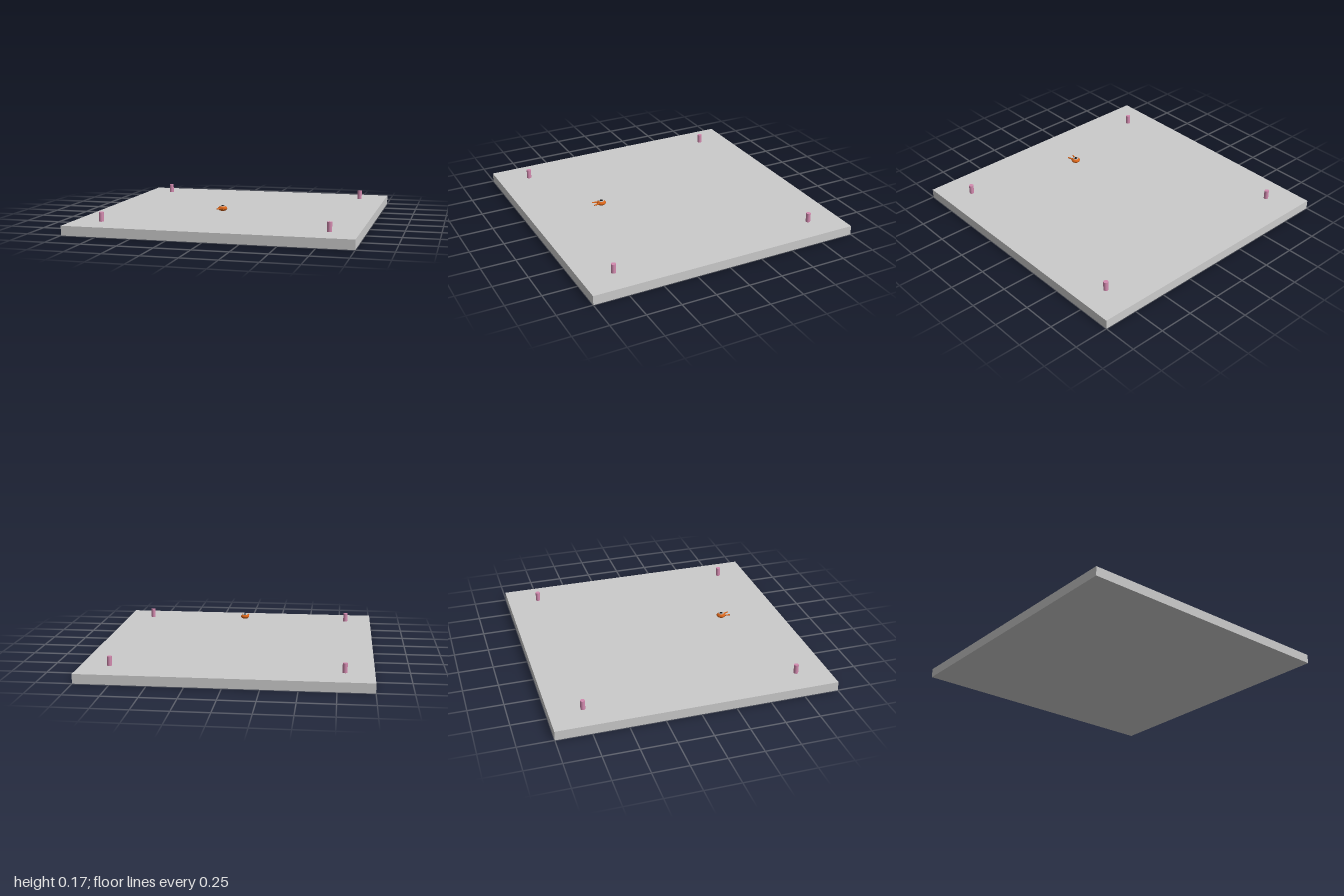
import * as THREE from 'three';

const material = (color) => new THREE.MeshStandardMaterial({ color });

function addMesh(parent, name, geometry, mat, x = 0, y = 0, z = 0) {
  const mesh = new THREE.Mesh(geometry, mat);
  mesh.name = name;
  mesh.position.set(x, y, z);
  parent.add(mesh);
  return mesh;
}

export function createModel() {
  const model = new THREE.Group();
  model.name = 'arena';
  const grey = material(0xcccccc);
  const pink = material(0xd48bb0);
  const orange = material(0xd9651a);
  const dark = material(0x151515);

  // Square floor slab
  addMesh(model, 'floor', new THREE.BoxGeometry(2, 0.067, 2), grey, 0, 0.0335, 0);

  // Four corner posts
  const postGeometry = new THREE.CylinderGeometry(0.0167, 0.0167, 0.067, 24);
  for (const x of [-0.8, 0.8]) {
    for (const z of [-0.767, 0.767]) {
      addMesh(model, 'post', postGeometry, pink, x, 0.1, z);
    }
  }

  // Small hovering saucer
  const craft = new THREE.Group();
  craft.name = 'craft';
  craft.position.set(0, 0.15, 0.498);
  model.add(craft);

  const profile = [
    [0, -0.019], [0.012, -0.018], [0.024, -0.013], [0.031, -0.006], [0.033, 0],
    [0.031, 0.006], [0.025, 0.012], [0.019, 0.015], [0, 0.015],
  ].map(([r, y]) => new THREE.Vector2(r, y));
  addMesh(craft, 'hull', new THREE.LatheGeometry(profile, 32), orange);

  // Collar and canopy on top
  const collar = addMesh(craft, 'collar', new THREE.TorusGeometry(0.016, 0.004, 10, 32), grey, 0, 0.015, 0);
  collar.rotation.x = Math.PI / 2;
  const canopy = addMesh(craft, 'canopy',
    new THREE.SphereGeometry(0.013, 24, 10, 0, Math.PI * 2, 0, Math.PI / 2), dark, 0, 0.014, 0);
  canopy.scale.y = 0.6;

  // Pair of splayed front prongs
  for (const side of [-1, 1]) {
    const start = new THREE.Vector3(side * 0.011, 0, 0.02);
    const end = new THREE.Vector3(side * 0.024, 0.003, 0.064);
    const direction = end.clone().sub(start);
    const prong = addMesh(craft, side > 0 ? 'leftProng' : 'rightProng',
      new THREE.CylinderGeometry(0.0045, 0.0065, direction.length(), 12), orange);
    prong.position.copy(start).lerp(end, 0.5);
    prong.quaternion.setFromUnitVectors(new THREE.Vector3(0, 1, 0), direction.normalize());
  }

  return model;
}
